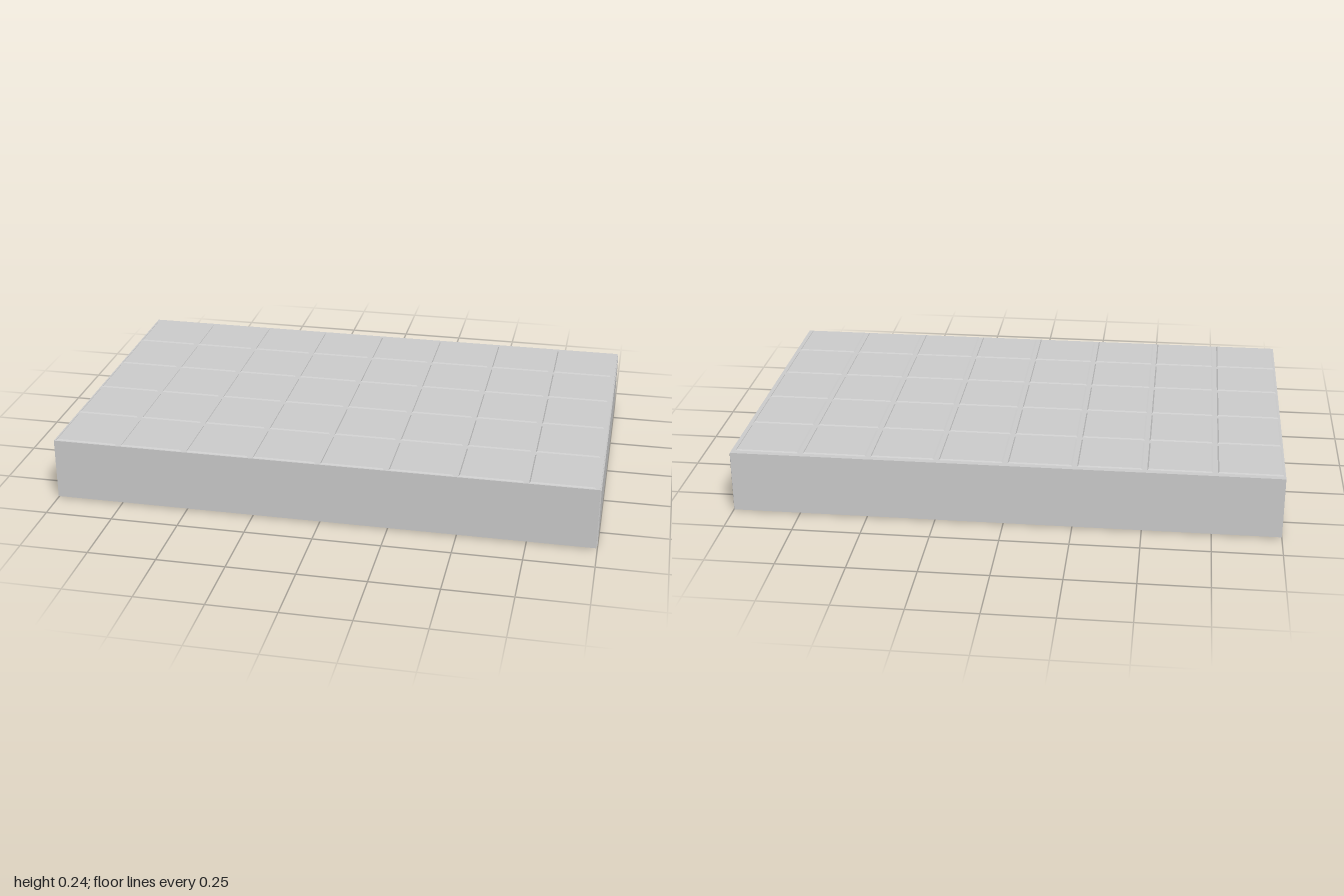
import * as THREE from 'three';

const material = new THREE.MeshStandardMaterial({ color: 0xcccccc, flatShading: true });
const RAISE = 0.004, BEVEL = 0.005;
const BOTTOM = RAISE, TOP = 0.234;

// Thin plate lying on y = 0 whose upper face is drawn in by the bevel
function plateGeometry(width, depth) {
  const geo = new THREE.BoxGeometry(width, RAISE, depth).translate(0, RAISE / 2, 0);
  const p = geo.attributes.position;
  for (let i = 0; i < p.count; i++) {
    if (p.getY(i) < RAISE / 2) continue;
    p.setX(i, p.getX(i) - Math.sign(p.getX(i)) * BEVEL);
    p.setZ(i, p.getZ(i) - Math.sign(p.getZ(i)) * BEVEL);
  }
  geo.computeVertexNormals();
  return geo;
}

export function createModel() {
  const model = new THREE.Group();
  model.name = 'tiledSlab';

  function add(name, geo, parent = model) {
    const mesh = new THREE.Mesh(geo, material);
    mesh.name = name;
    parent.add(mesh);
    return mesh;
  }

  // Solid core
  add('slabCore', new THREE.BoxGeometry(1.996, TOP - BOTTOM, 1.25))
    .position.set(-0.002, (TOP + BOTTOM) / 2, 0);

  // 8 x 5 bevelled tiles on the top and on the underside
  const w = 0.232, d = 0.227, pitch = 0.249;
  const tile = plateGeometry(w, d);
  const topTiles = new THREE.Group();
  topTiles.name = 'topTiles';
  const bottomTiles = new THREE.Group();
  bottomTiles.name = 'bottomTiles';
  model.add(topTiles, bottomTiles);
  for (let i = 0; i < 8; i++) {
    for (let k = 0; k < 5; k++) {
      const x = -0.994 + w / 2 + i * pitch;
      const z = -0.603 + d / 2 + k * pitch;
      add('topTile', tile, topTiles).position.set(x, TOP, z);
      const under = add('bottomTile', tile, bottomTiles);
      under.position.set(x, BOTTOM, z);
      under.rotation.x = Math.PI;
    }
  }

  // Single raised panel on the left end
  const endPanel = add('endPanel', plateGeometry(TOP - BOTTOM - 0.004, 1.24));
  endPanel.rotation.z = -Math.PI / 2;
  endPanel.position.set(0.996, (TOP + BOTTOM) / 2, 0);

  return model;
}
